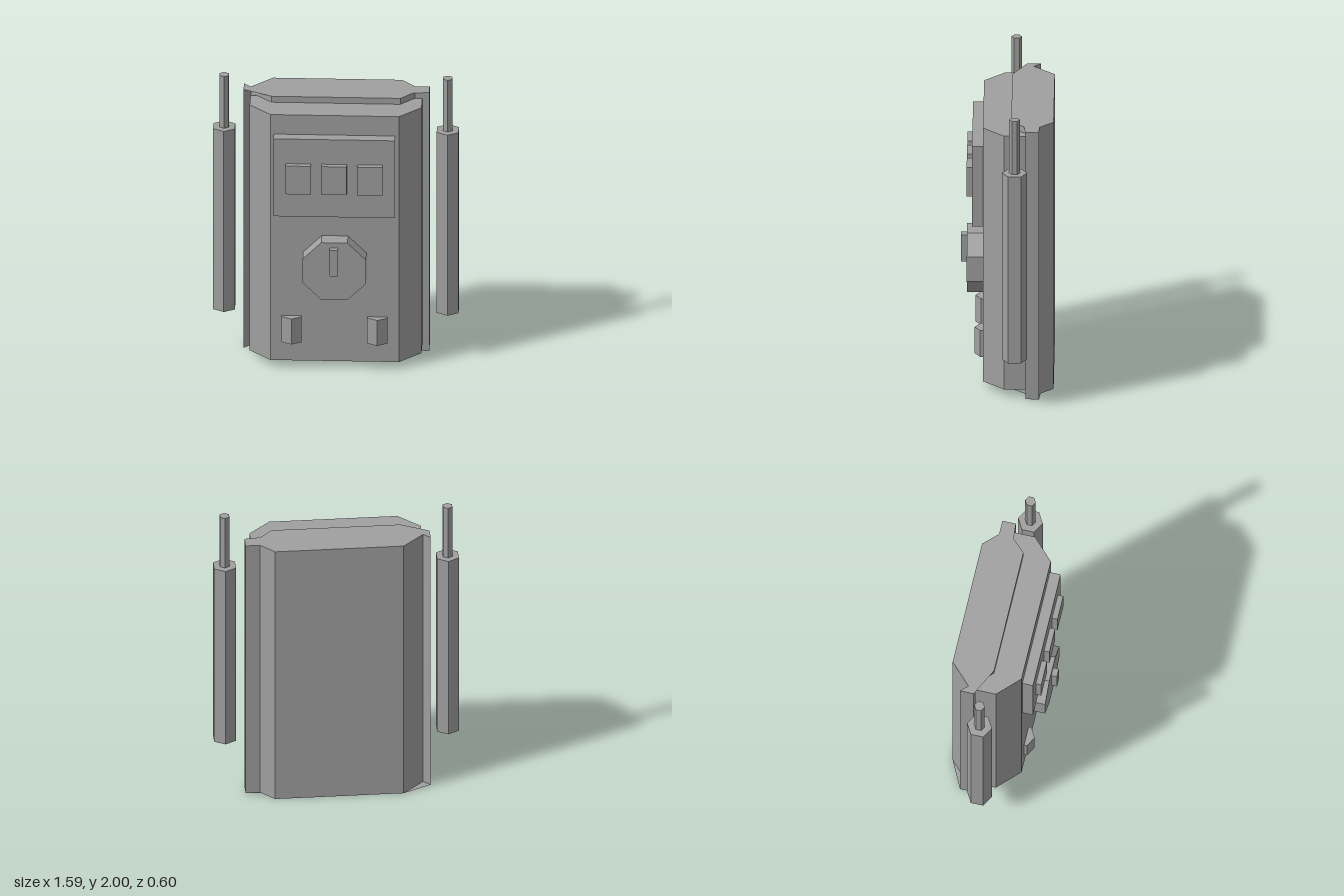
import * as THREE from 'three';

const grey = new THREE.MeshStandardMaterial({ color: 0xa0a0a0, side: THREE.DoubleSide });
grey.name = 'casing grey';

// Upright prism from an [x, z] outline; each cap is a fan from a chosen corner
function prism(outline, y0, y1, topFan = 0, bottomFan = 0) {
  const n = outline.length;
  const pos = [];
  const add = (i, y) => pos.push(outline[i % n][0], y, outline[i % n][1]);
  for (let i = 0; i < n; i++) {
    add(i, y0); add(i, y1); add(i + 1, y1);
    add(i, y0); add(i + 1, y1); add(i + 1, y0);
  }
  for (let i = 1; i < n - 1; i++) {
    add(topFan, y1); add(topFan + i + 1, y1); add(topFan + i, y1);
    add(bottomFan, y0); add(bottomFan + i, y0); add(bottomFan + i + 1, y0);
  }
  const g = new THREE.BufferGeometry();
  g.setAttribute('position', new THREE.Float32BufferAttribute(pos, 3));
  g.computeVertexNormals();
  return g;
}

// Six-sided or eight-sided column with hard edges
function column(radius, height, sides) {
  const g = new THREE.CylinderGeometry(radius, radius, height, sides).toNonIndexed();
  g.computeVertexNormals();
  return g;
}

export function createModel() {
  const model = new THREE.Group();
  const add = (name, geometry, x = 0, y = 0, z = 0) => {
    const mesh = new THREE.Mesh(geometry, grey);
    mesh.name = name;
    mesh.position.set(x, y, z);
    model.add(mesh);
    return mesh;
  };
  const box = (name, x0, x1, y0, y1, z0, z1) =>
    add(name, new THREE.BoxGeometry(x1 - x0, y1 - y0, z1 - z0),
      (x0 + x1) / 2, (y0 + y1) / 2, (z0 + z1) / 2);

  // Back shell: flange on one side, crossed fin on the other
  add('backShell', prism([
    [-0.418, -0.303], [0.418, -0.303], [0.508, -0.211], [0.602, -0.211], [0.602, -0.121],
    [0.508, -0.121], [0.418, -0.028], [-0.418, -0.028], [-0.602, -0.211], [-0.602, -0.121],
  ], 0, 1.86, 7, 0));

  // Front body with chamfered long edges
  add('frontBody', prism([
    [-0.557, -0.121], [0.557, -0.121], [0.557, 0.017], [0.416, 0.155],
    [-0.416, 0.155], [-0.557, 0.017],
  ], 0.05, 1.817));

  // Display panel with three raised buttons
  box('displayPanel', -0.395, 0.392, 1.12, 1.677, 0.15, 0.226);
  for (const x of [-0.233, -0.001, 0.231]) {
    box('button', x - 0.082, x + 0.082, 1.297, 1.5, 0.22, 0.262);
  }

  // Octagonal dial and its pointer
  const dial = add('dial', column(0.222, 0.112, 8).rotateY(Math.PI / 8), 0.001, 0.747, 0.206);
  dial.rotation.x = Math.PI / 2;
  box('dialPointer', -0.03, 0.026, 0.73, 0.915, 0.255, 0.3);

  // Ridged feet near the bottom
  for (const x of [-0.28, 0.276]) {
    add('ridgedTab', prism([
      [-0.065, 0.15], [0.065, 0.15], [0.065, 0.174], [0, 0.21], [-0.065, 0.174],
    ], 0.19, 0.373), x);
  }

  // Side rods with thinner tips
  for (const side of [-1, 1]) {
    add('sideRod', column(0.082, 1.3, 6), side * 0.725, 0.978, -0.053);
    add('rodTip', column(0.035, 0.372, 6), side * 0.725, 1.814, -0.053);
  }
  return model;
}
